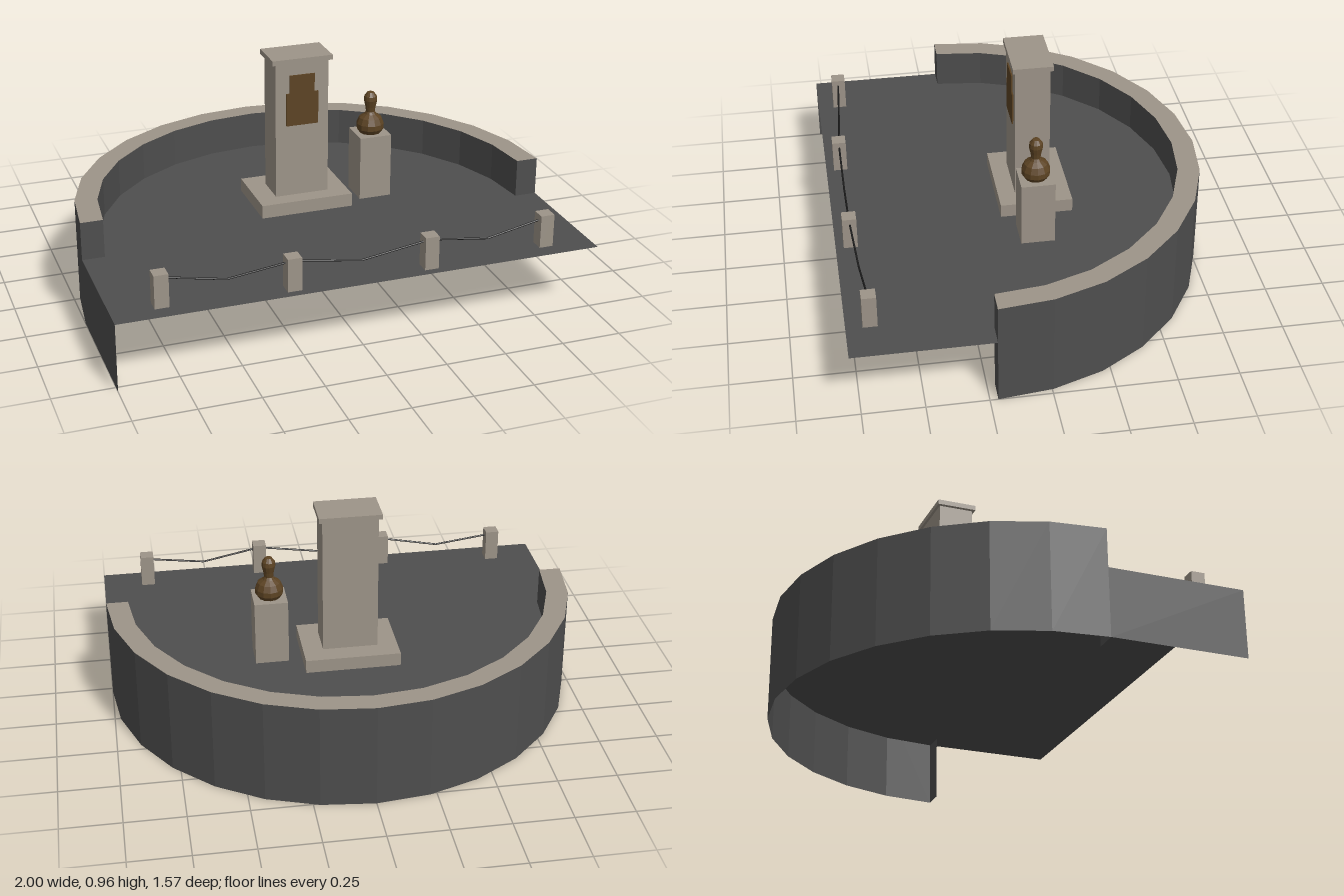
import * as THREE from 'three';

const mat = (name, color, side = THREE.FrontSide) =>
  new THREE.MeshStandardMaterial({ name, color, side, flatShading: true });

const DECK = 0.285, WALL = 0.448, R = 1, R_IN = 0.907, CZ = 0.217, FRONT = 0.783, SEG = 14;

export function createModel() {
  const model = new THREE.Group();
  model.name = 'memorialTerrace';
  const paving = mat('darkPaving', 0x4e4e4e, THREE.DoubleSide);
  const coping = mat('copingStone', 0x9d9488, THREE.DoubleSide);
  const stone = coping;
  const bronze = mat('bronze', 0x5c4323, THREE.DoubleSide);
  const ropeMat = mat('blackRope', 0x1a1a1a);

  const add = (name, geo, material, x = 0, y = 0, z = 0, parent = model) => {
    const mesh = new THREE.Mesh(geo, material);
    mesh.name = name;
    mesh.position.set(x, y, z);
    parent.add(mesh);
    return mesh;
  };
  // Box given by its extents on each axis
  const block = (name, material, [x0, x1], [y0, y1], [z0, z1], parent) =>
    add(name, new THREE.BoxGeometry(x1 - x0, y1 - y0, z1 - z0), material,
      (x0 + x1) / 2, (y0 + y1) / 2, (z0 + z1) / 2, parent);

  // Deck: half circle at the back, straight edge in front
  const outline = new THREE.Shape();
  outline.moveTo(-1, -FRONT);
  outline.lineTo(1, -FRONT);
  for (let i = 0; i <= SEG; i++) {
    const a = (i / SEG) * Math.PI;
    outline.lineTo(R * Math.cos(a), R * Math.sin(a) - CZ);
  }
  add('deck', new THREE.ShapeGeometry(outline).rotateX(-Math.PI / 2), paving, 0, DECK, 0);

  // Curved retaining wall, open below the deck
  const band = (name, r, y0, y1) => add(name,
    new THREE.CylinderGeometry(r, r, y1 - y0, SEG, 1, true, Math.PI / 2, Math.PI),
    paving, 0, (y0 + y1) / 2, CZ);
  band('outerWall', R, 0, WALL);
  band('innerWall', R_IN, DECK, WALL);
  add('wallCoping', new THREE.RingGeometry(R_IN, R, SEG, 1, 0, Math.PI).rotateX(-Math.PI / 2),
    coping, 0, WALL, CZ);
  for (const s of [-1, 1]) {
    add('wallEnd', new THREE.PlaneGeometry(R - R_IN, WALL), paving,
      s * (R + R_IN) / 2, WALL / 2, CZ);
  }
  // Single side panel under the deck
  add('sidePanel', new THREE.PlaneGeometry(FRONT - CZ, DECK).rotateY(-Math.PI / 2), paving,
    -1, DECK / 2, (FRONT + CZ) / 2);

  // Central pillar
  const base = DECK + 0.001;
  const pillar = new THREE.Group();
  pillar.name = 'pillar';
  model.add(pillar);
  block('plinth', stone, [-0.2, 0.2], [base, 0.343], [-0.221, 0.083], pillar);
  block('shaft', stone, [-0.116, 0.116], [0.343, 0.935], [-0.136, 0.01], pillar);
  block('cap', stone, [-0.131, 0.131], [0.935, 0.956], [-0.147, 0.021], pillar);
  // Stepped plaque
  block('plaqueLower', bronze, [-0.07, 0.07], [0.66, 0.803], [0.01, 0.016], pillar);
  block('plaqueUpper', bronze, [-0.054, 0.054], [0.803, 0.882], [0.01, 0.016], pillar);

  // Bust on its pedestal
  block('pedestal', stone, [0.257, 0.397], [base, 0.565], [-0.111, 0.029]);
  const profile = [[0.046, 0], [0.059, 0.02], [0.059, 0.042], [0.048, 0.068], [0.026, 0.083],
    [0.019, 0.094], [0.022, 0.115], [0.029, 0.145], [0.027, 0.163], [0.015, 0.18], [0, 0.182]]
    .map(([r, y]) => new THREE.Vector2(r, y));
  add('bust', new THREE.LatheGeometry(profile, 12), bronze, 0.327, 0.565, -0.041);

  // Posts joined by sagging ropes
  const posts = [[-0.802, 0.687], [-0.285, 0.721], [0.285, 0.721], [0.802, 0.687]];
  const h = 0.029;
  for (const [x, z] of posts) {
    block('post', stone, [x - h, x + h], [base, 0.425], [z - h, z + h]);
  }
  const up = new THREE.Vector3(0, 1, 0);
  const strand = (a, b) => {
    const d = b.clone().sub(a);
    const mesh = add('rope', new THREE.CylinderGeometry(0.004, 0.004, d.length(), 6), ropeMat);
    mesh.position.copy(a).add(b).multiplyScalar(0.5);
    mesh.quaternion.setFromUnitVectors(up, d.normalize());
  };
  for (let i = 0; i < posts.length - 1; i++) {
    const a = new THREE.Vector3(posts[i][0], 0.403, posts[i][1]);
    const b = new THREE.Vector3(posts[i + 1][0], 0.403, posts[i + 1][1]);
    const mid = a.clone().lerp(b, 0.5).setY(0.36);
    strand(a, mid);
    strand(mid, b);
  }
  return model;
}
